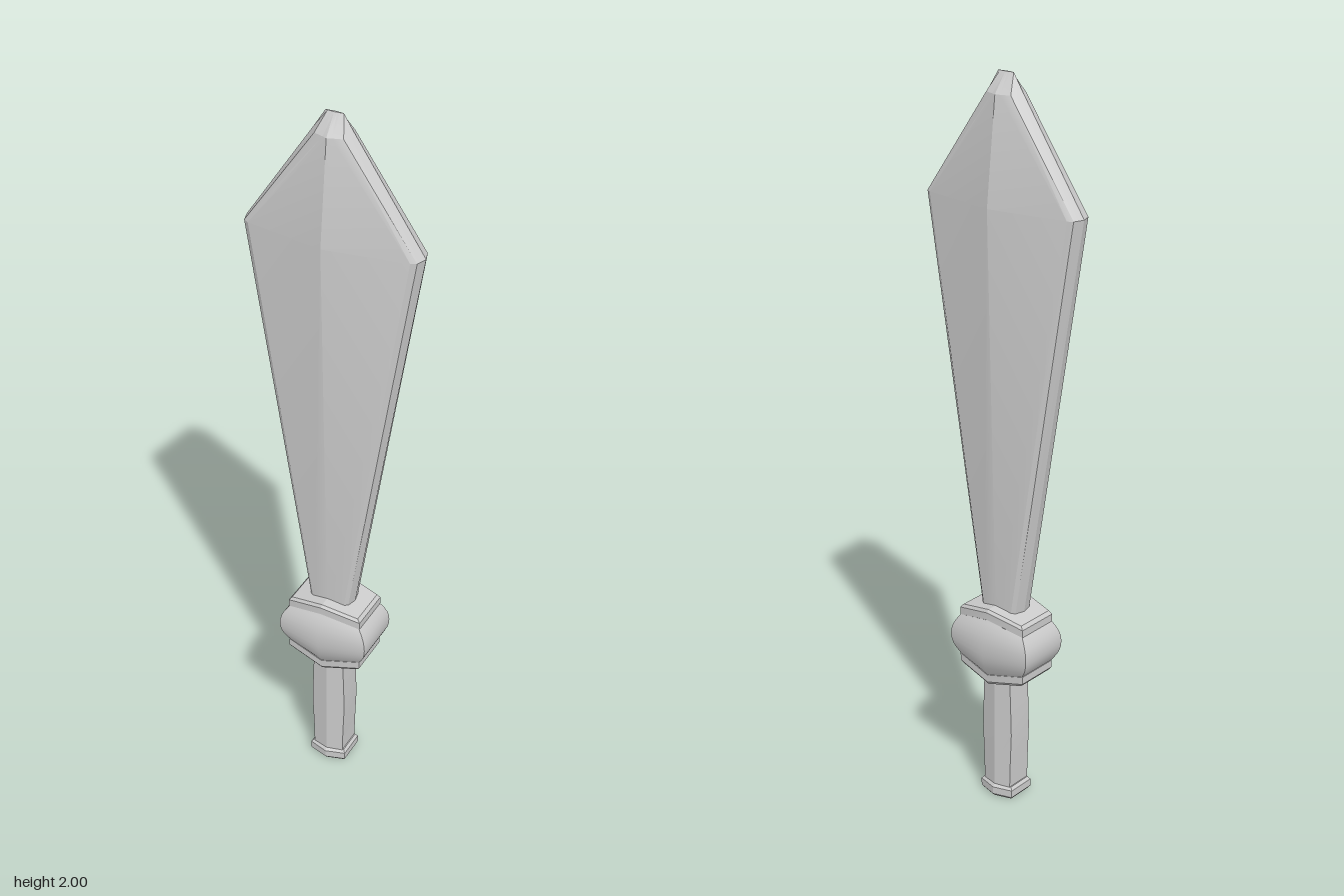
import * as THREE from 'three';
import { toCreasedNormals } from 'three/addons/utils/BufferGeometryUtils.js';

const material = new THREE.MeshStandardMaterial({ color: 0xcccccc });

// Skins a stack of rings (points ordered counter-clockwise from above) and closes both ends.
function loft(name, rings, crease) {
  const n = rings[0].length;
  const positions = rings.flat(2);
  const index = [];
  for (let r = 0; r < rings.length - 1; r++) {
    for (let i = 0; i < n; i++) {
      const a = r * n + i, b = r * n + (i + 1) % n;
      index.push(a, b, b + n, a, b + n, a + n);
    }
  }
  const bottom = rings.length * n, top = bottom + 1, last = bottom - n;
  for (const ring of [rings[0], rings[rings.length - 1]]) {
    positions.push(0, ring.find((p) => p[0] === 0)[1], 0);
  }
  for (let i = 0; i < n; i++) {
    const j = (i + 1) % n;
    index.push(bottom, j, i, top, last + i, last + j);
  }
  const geometry = new THREE.BufferGeometry();
  geometry.setAttribute('position', new THREE.Float32BufferAttribute(positions, 3));
  geometry.setIndex(index);
  const mesh = new THREE.Mesh(toCreasedNormals(geometry, crease), material);
  mesh.name = name;
  return mesh;
}

// Six-sided ring ridged at front and back; slope lowers its sides to make a chevron.
function hexRing(y, halfX, sideZ, ridgeZ, slope = 0) {
  const s = y - slope * halfX;
  return [
    [halfX, s, -sideZ], [0, y, -ridgeZ], [-halfX, s, -sideZ],
    [-halfX, s, sideZ], [0, y, ridgeZ], [halfX, s, sideZ],
  ];
}

// Blade ring: rounded cutting edges, bevel, central ridge on each face.
function bladeRing(y, width, inner, bevelZ, ridgeZ) {
  const mid = width - (width - inner) * 0.4;
  const quarter = [[width, 0], [mid, bevelZ * 0.78], [inner, bevelZ], [0, ridgeZ]];
  const back = [...quarter, ...quarter.slice(0, 3).reverse().map(([x, z]) => [-x, z])];
  const front = back.slice(1, 6).reverse().map(([x, z]) => [x, -z]);
  return [...back, ...front].map(([x, z]) => [x, y, -z]);
}

export function createModel() {
  const group = new THREE.Group();
  group.name = 'sword';

  // Broad leaf blade tapering down to the guard
  group.add(loft('blade', [
    bladeRing(0.54, 0.058, 0.042, 0.037, 0.042),
    bladeRing(1.675, 0.242, 0.218, 0.037, 0.073),
    bladeRing(1.95, 0.056, 0.012, 0.037, 0.042),
    bladeRing(2.0, 0.024, 0.008, 0.002, 0.003),
  ], 0.3));

  // Bulging guard body
  const belly = [];
  const steps = 10;
  for (let k = 0; k <= steps; k++) {
    const t = -1 + (2 * k) / steps;
    const bulge = 1 - Math.pow(Math.abs(t), 2.3) * 0.27;
    belly.push(hexRing(0.472 + t * 0.092, 0.13 * bulge, 0.076 * bulge, 0.099 * bulge, 0.2 * t));
  }
  group.add(loft('guardBody', belly, 0.6));

  // Chevron collars above and below the guard body
  for (const dir of [1, -1]) {
    const profile = [[0.078, 1], [0.083, 1.08], [0.104, 1.08], [0.112, 1]];
    const rings = profile.map(([d, s]) =>
      hexRing(0.472 + dir * d, 0.1 * s, 0.058 * s, 0.073 * s, 0.22 * dir));
    if (dir < 0) rings.reverse();
    group.add(loft(dir > 0 ? 'upperCollar' : 'lowerCollar', rings, 0.4));
  }

  // Grip, slightly swollen in the middle
  const grip = [[0.02, 0.044], [0.1, 0.046], [0.2, 0.05], [0.3, 0.047], [0.4, 0.043]];
  group.add(loft('grip', grip.map(([y, x]) => hexRing(y, x, 0.038, 0.05)), 0.35));

  // Pommel band
  const pommel = [[0, 0.9], [0.007, 1], [0.028, 1], [0.036, 0.88]];
  group.add(loft('pommel', pommel.map(([y, s]) =>
    hexRing(y, 0.054 * s, 0.041 * s, 0.057 * s, 0)), 0.35));

  return group;
}
